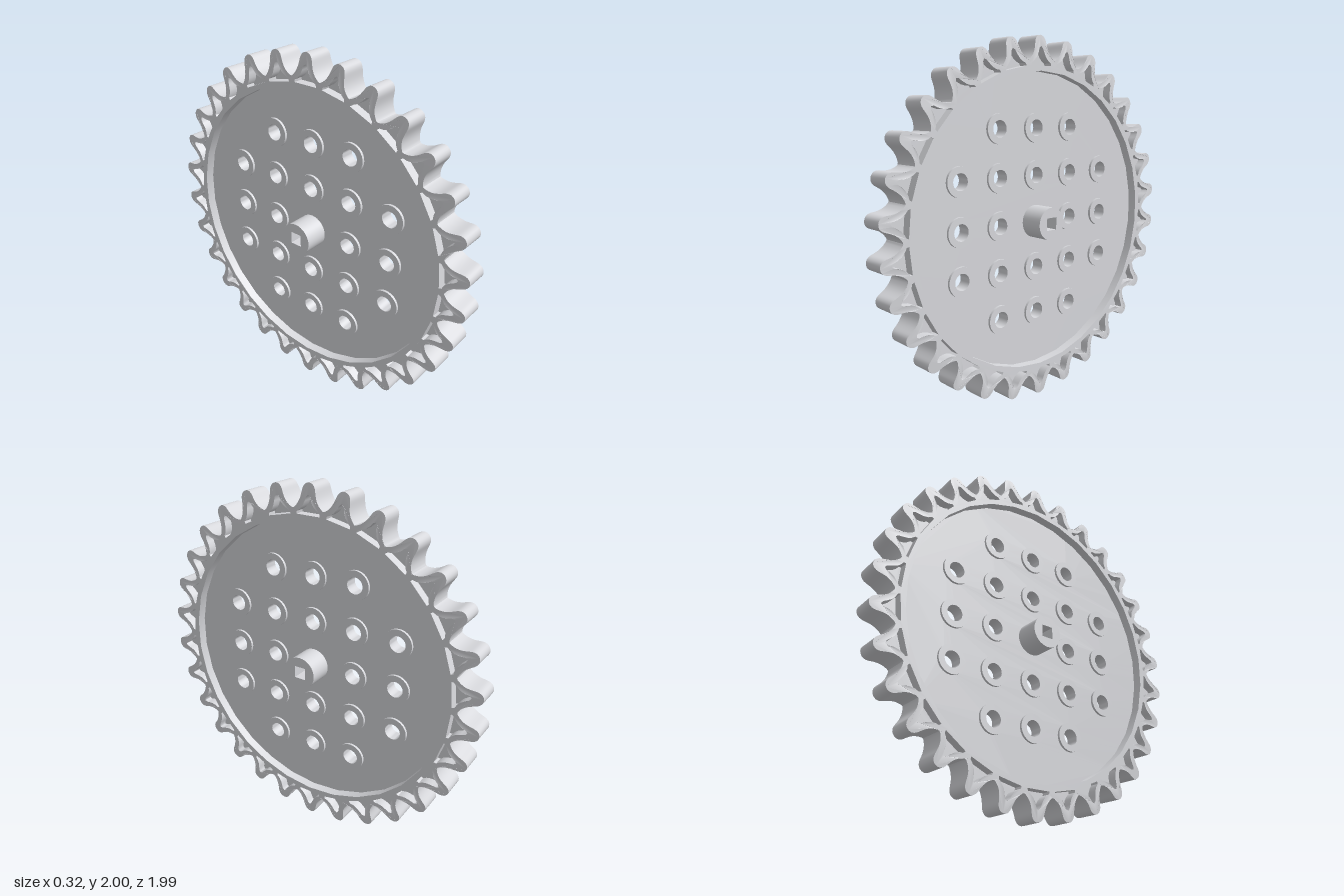
import * as THREE from 'three';
import { toCreasedNormals } from 'three/addons/utils/BufferGeometryUtils.js';

const TEETH = 30;
const PITCH = (Math.PI * 2) / TEETH;

// Half tooth and half pocket: [sideways offset, height above the centre]
const TOOTH = [[0, 1], [0.021, 0.994], [0.035, 0.976], [0.041, 0.952], [0.048, 0.925], [0.06, 0.9], [0.077, 0.88]];
const VALLEY = [0.0913, 0.87];
const POCKET = [[0, 0.942], [0.012, 0.932], [0.02, 0.91], [0.033, 0.885], [0.049, 0.867], [0.068, 0.855], [0.07, 0.841]];

const mirrored = (half) => [
  ...half.slice(1).reverse().map(([x, y]) => [-x, y]),
  ...half,
];

function turn([x, y], angle) {
  const c = Math.cos(angle), s = Math.sin(angle);
  return new THREE.Vector2(x * c + y * s, y * c - x * s);
}

// Smooth toothed outline
function toothedOutline(scale) {
  const pts = [];
  for (let i = 0; i < TEETH; i++) {
    for (const p of [...mirrored(TOOTH), VALLEY]) {
      const v = turn(p, i * PITCH).multiplyScalar(scale);
      pts.push(new THREE.Vector3(v.x, v.y, 0));
    }
  }
  const curve = new THREE.CatmullRomCurve3(pts, true);
  const steps = pts.length * 2;
  const out = [];
  for (let i = 0; i < steps; i++) {
    const v = curve.getPoint(i / steps);
    out.push(new THREE.Vector2(v.x, v.y));
  }
  return new THREE.Shape(out);
}

function circle(radius, cx = 0, cy = 0, sides = 32) {
  const pts = [];
  for (let i = 0; i < sides; i++) {
    const a = Math.PI / 2 + (i / sides) * Math.PI * 2;
    pts.push(new THREE.Vector2(cx + Math.cos(a) * radius, cy + Math.sin(a) * radius));
  }
  return new THREE.Shape(pts);
}

// Extrude evenly to both sides, optionally thin the tooth tips, then turn the axle onto x
function slab(shape, half, taper = 0) {
  const geo = new THREE.ExtrudeGeometry(shape, { depth: half * 2, bevelEnabled: false });
  geo.translate(0, 0, -half);
  const pos = geo.attributes.position;
  for (let i = 0; i < pos.count; i++) {
    const r = Math.hypot(pos.getX(i), pos.getY(i));
    pos.setZ(i, pos.getZ(i) - Math.sign(pos.getZ(i)) * Math.max(0, r - 0.91) * taper);
  }
  geo.rotateY(Math.PI / 2);
  return toCreasedNormals(geo, 0.6);
}

export function createModel() {
  const group = new THREE.Group();
  const grey = new THREE.MeshStandardMaterial({ color: 0xd7d8dc });
  grey.name = 'lightGrey';

  const add = (name, geo, y = 0, z = 0) => {
    const mesh = new THREE.Mesh(geo, grey);
    mesh.name = name;
    mesh.position.set(0, 1 + y, z);
    group.add(mesh);
  };

  // Toothed rim with a pocket in every tooth (pockets run counter to the outline so their walls face inwards)
  const rim = toothedOutline(1);
  rim.holes.push(circle(0.815, 0, 0, TEETH));
  for (let i = 0; i < TEETH; i++) {
    rim.holes.push(new THREE.Path(mirrored(POCKET).reverse().map((p) => turn(p, i * PITCH))));
  }
  add('toothedRim', slab(rim, 0.076, 0.12));

  // Hole grid: five by five without its corners and centre
  const spots = [];
  for (let i = -2; i <= 2; i++) {
    for (let j = -2; j <= 2; j++) {
      const ring = Math.abs(i) + Math.abs(j);
      if (ring > 0 && ring < 4) spots.push([i * 0.257, j * 0.257]);
    }
  }

  // Thin web that fills the wheel and closes the pockets
  const web = toothedOutline(0.985);
  web.holes.push(circle(0.06));
  for (const [z, y] of spots) web.holes.push(circle(0.06, z, y));
  add('web', slab(web, 0.024));

  // Raised collars round the holes
  const collar = circle(0.08);
  collar.holes.push(circle(0.045));
  const collarGeo = slab(collar, 0.038);
  for (const [z, y] of spots) add('holeCollar', collarGeo, y, z);

  // Hub with a square axle hole
  const hub = circle(0.09);
  const h = 0.034;
  hub.holes.push(new THREE.Path([[-h, -h], [h, -h], [h, h], [-h, h]].map(([x, y]) => new THREE.Vector2(x, y))));
  add('hub', slab(hub, 0.16));

  return group;
}
